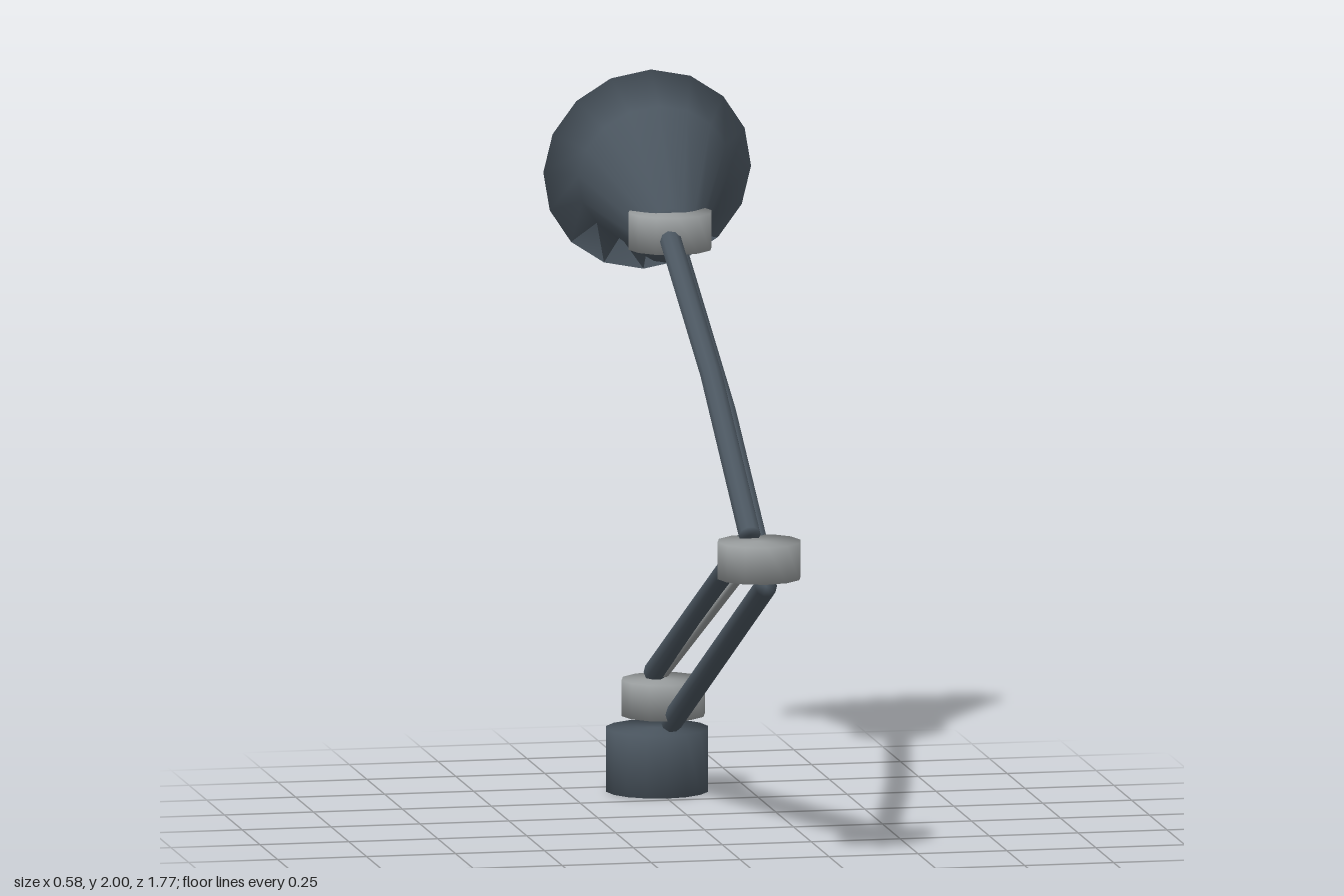
import * as THREE from 'three';

const dark = new THREE.MeshStandardMaterial({ color: 0x4b5660 });
dark.name = 'slate';
const light = new THREE.MeshStandardMaterial({ color: 0x999d9e });
light.name = 'lightGrey';

// Capped loft through round sections [y, z, radius, optional tilt (ty, tz)] at a fixed x,
// with normals shared between the walls and the caps.
function loft(x, sections, sides, phase = 0) {
  const pos = [], index = [];
  const last = sections.length - 1;
  sections.forEach(([y, z, r, ty, tz], i) => {
    if (ty === undefined) {
      const a = sections[Math.max(i - 1, 0)], b = sections[Math.min(i + 1, last)];
      ty = b[0] - a[0];
      tz = b[1] - a[1];
    }
    const len = Math.hypot(ty, tz);
    for (let j = 0; j < sides; j++) {
      const t = ((j + phase) / sides) * Math.PI * 2;
      const s = (r * Math.sin(t)) / len;
      pos.push(x + r * Math.cos(t), y + s * tz, z - s * ty);
    }
  });
  const start = pos.length / 3, end = start + 1;
  pos.push(x, sections[0][0], sections[0][1], x, sections[last][0], sections[last][1]);
  for (let j = 0; j < sides; j++) {
    const k = (j + 1) % sides;
    for (let i = 0; i < last; i++) {
      const a = i * sides, b = a + sides;
      index.push(a + j, a + k, b + j, a + k, b + k, b + j);
    }
    index.push(start, k, j, end, last * sides + j, last * sides + k);
  }
  const geo = new THREE.BufferGeometry();
  geo.setAttribute('position', new THREE.Float32BufferAttribute(pos, 3));
  geo.setIndex(index);
  geo.computeVertexNormals();
  return geo;
}

export function createModel() {
  const lamp = new THREE.Group();
  lamp.name = 'deskLamp';
  const add = (name, geo, mat) => {
    const mesh = new THREE.Mesh(geo, mat);
    mesh.name = name;
    lamp.add(mesh);
  };
  const drum = (name, z, y0, y1, r, mat, sides) =>
    add(name, loft(0, [[y0, z, r], [y1, z, r]], sides), mat);
  const rod = (name, x, r, points, mat) =>
    add(name, loft(x, points.map(([y, z]) => [y, z, r]), 10), mat);

  // Base and pivots
  drum('base', -0.67, 0, 0.175, 0.143, dark, 16);
  drum('baseJoint', -0.585, 0.225, 0.325, 0.117, light, 12);
  drum('elbowJoint', 0.768, 0.832, 0.935, 0.117, light, 12);
  drum('headJoint', -0.487, 1.545, 1.648, 0.117, light, 12);

  // Lower arm: two parallel rods with a thin tie between
  rod('lowerArmTopRod', -0.018, 0.031, [[0.92, 0.69], [0.34, -0.615]], dark);
  rod('lowerArmBottomRod', 0.015, 0.031, [[0.812, 0.79], [0.213, -0.54]], dark);
  rod('lowerArmTie', 0, 0.012, [[0.875, 0.7], [0.345, -0.56]], light);

  // Upper arm: the same set, bent part way along
  rod('upperArmTopRod', -0.018, 0.031, [[0.945, 0.725], [1.303, 0.185], [1.605, -0.43]], dark);
  rod('upperArmBottomRod', 0.015, 0.031, [[0.91, 0.665], [1.208, 0.21], [1.535, -0.455]], dark);
  rod('upperArmTie', 0, 0.012, [[0.955, 0.66], [1.258, 0.2], [1.575, -0.43]], light);

  // Shade: flares from a small neck to a wide tilted rim
  add('shade', loft(0, [
    [1.578, -0.5, 0.091, 0.44, -0.9],
    [1.716, -0.717, 0.212, 0.338, -0.941],
    [1.713, -0.81, 0.292, 0.18, -0.984],
  ], 16), dark);

  // Lens disc set in the mouth of the shade
  add('lens', loft(0, [
    [1.708, -0.783, 0.157, 0.18, -0.984],
    [1.721, -0.855, 0.157, 0.18, -0.984],
  ], 16), light);

  return lamp;
}
